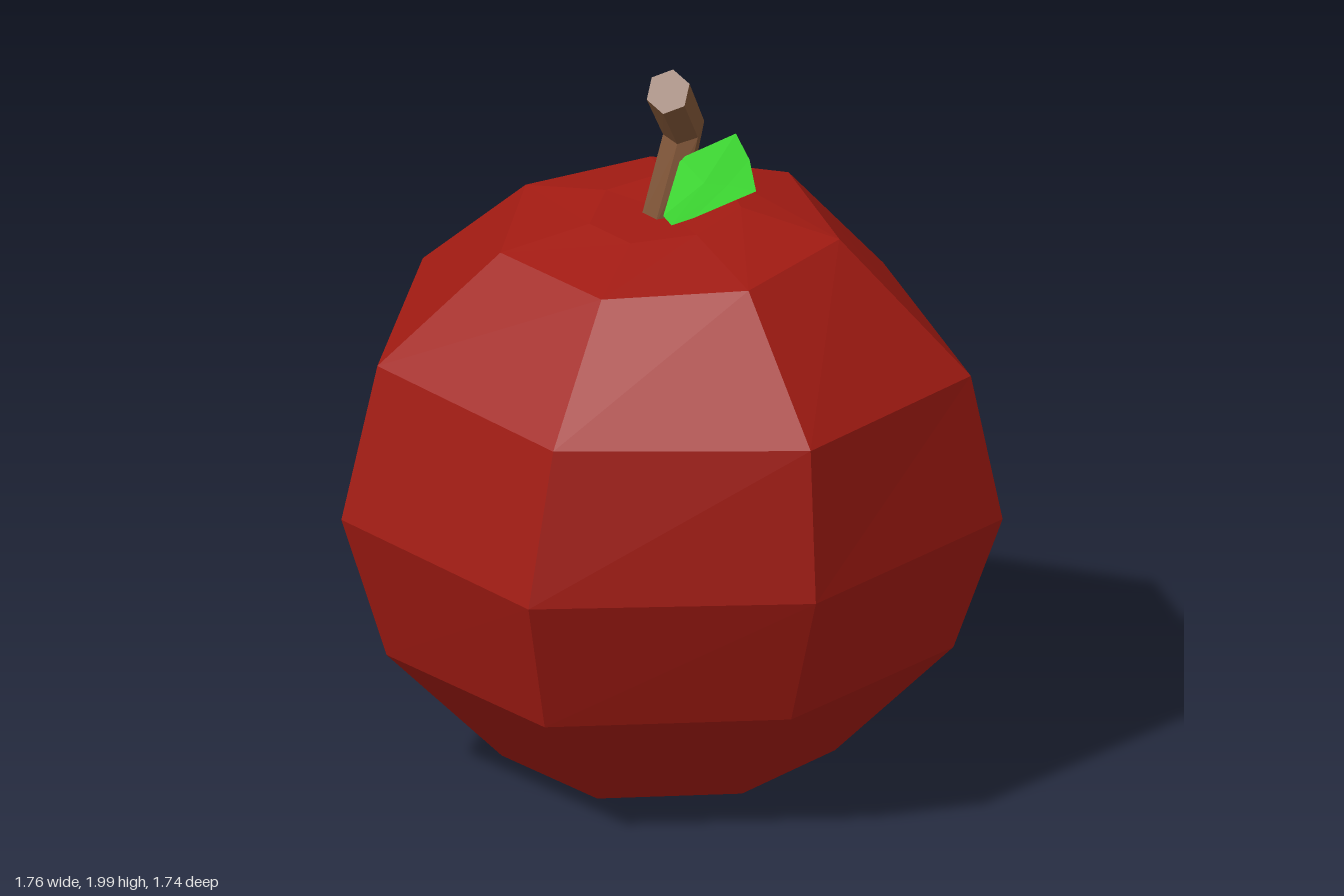
import * as THREE from 'three';

const V = (x, y, z) => new THREE.Vector3(x, y, z);

function facetedMesh(name, triangles, color, side = THREE.FrontSide) {
  const geometry = new THREE.BufferGeometry().setFromPoints(triangles);
  geometry.computeVertexNormals();
  const mesh = new THREE.Mesh(geometry, new THREE.MeshStandardMaterial({ color, flatShading: true, side }));
  mesh.name = name;
  return mesh;
}

// Skins rings stacked from bottom to top and closes both ends with a fan
function loft(rings, bottom, top) {
  const out = [];
  const n = rings[0].length;
  const last = rings[rings.length - 1];
  for (let i = 0; i < n; i++) {
    const j = (i + 1) % n;
    out.push(bottom, rings[0][i], rings[0][j]);
    for (let k = 0; k + 1 < rings.length; k++) {
      const a = rings[k], b = rings[k + 1];
      out.push(a[j], a[i], b[i], a[j], b[i], b[j]);
    }
    out.push(top, last[j], last[i]);
  }
  return out;
}

// Seven-sided fruit: one uneven outline, scaled and slightly tilted per ring
function createFruit() {
  const outline = [[-0.05, -0.915], [0.74, -0.565], [0.88, 0.195], [0.43, 0.82],
    [-0.36, 0.82], [-0.885, 0.175], [-0.69, -0.525]];
  // height, x scale, z scale, slope along x, slope along z
  const levels = [
    [0.008, 0.22, 0.23, 0, 0],
    [0.05, 0.51, 0.5, 0, -0.02],
    [0.375, 0.845, 0.865, -0.005, -0.01],
    [0.77, 1, 1, -0.02, -0.01],
    [1.19, 0.94, 0.87, -0.025, -0.01],
    [1.515, 0.54, 0.495, -0.01, -0.08],
    [1.575, 0.22, 0.235, -0.02, -0.14],
  ];
  const rings = levels.map(([y, sx, sz, tx, tz]) => outline.map(([x, z]) =>
    V(x * sx, y + x * sx * tx + z * sz * tz, 0.045 + z * sz)));
  return facetedMesh('fruit', loft(rings, V(0, 0.012, 0.04), V(0, 1.565, 0.04)), 0xa01a12);
}

// Bent hexagonal stem
function createStem() {
  const sections = [
    [V(0, 1.54, 0.05), V(0, 1, 0), 0.06],
    [V(0.01, 1.79, -0.015), V(0.2, 0.85, 0.45), 0.058],
    [V(0.085, 1.945, 0.1), V(0.45, 0.55, 0.7), 0.062],
  ];
  const rings = sections.map(([center, normal, radius]) => {
    const turn = new THREE.Quaternion().setFromUnitVectors(V(0, 1, 0), normal.normalize());
    return Array.from({ length: 6 }, (_, i) => {
      const a = (i + 0.5) * Math.PI / 3;
      return V(radius * Math.sin(a), 0, -radius * Math.cos(a)).applyQuaternion(turn).add(center);
    });
  });
  return facetedMesh('stem', loft(rings, sections[0][0], sections[2][0]), 0x7d5335);
}

// Leaf folded along its midrib
function createLeaf() {
  const base = V(0.04, 1.72, 0.02), tip = V(0.53, 1.81, 0.16);
  const rib = [base, V(0.2, 1.71, 0.07), V(0.36, 1.765, 0.12), tip];
  const upper = [base, V(0.2, 1.825, -0.04), V(0.38, 1.83, 0.06), tip];
  const lower = [base, V(0.15, 1.625, 0.17), V(0.24, 1.637, 0.215), V(0.34, 1.69, 0.222), tip];
  const triangles = [];
  for (let i = 0; i < 3; i++) {
    triangles.push(rib[i], rib[i + 1], upper[i + 1], rib[i], upper[i + 1], upper[i]);
  }
  triangles.push(
    base, lower[1], rib[1],
    rib[1], lower[1], lower[2],
    rib[1], lower[2], rib[2],
    rib[2], lower[2], lower[3],
    rib[2], lower[3], tip);
  return facetedMesh('leaf', triangles, 0x3ad030, THREE.DoubleSide);
}

export function createModel() {
  const group = new THREE.Group();
  group.name = 'apple';
  group.add(createFruit(), createStem(), createLeaf());
  return group;
}
